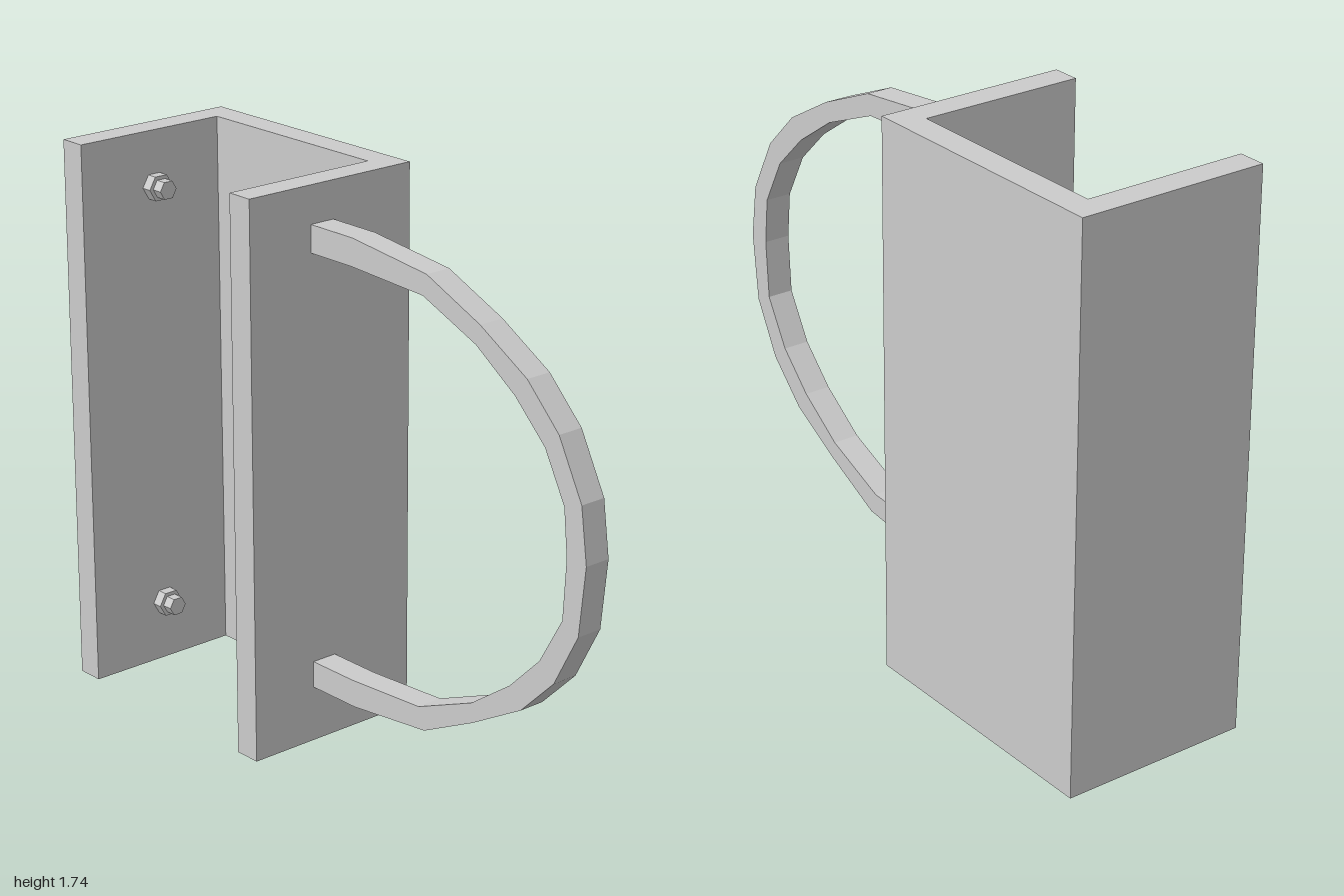
import * as THREE from 'three';

const material = new THREE.MeshStandardMaterial({ color: 0xcccccc, flatShading: true });

function add(parent, name, geometry, x, y, z) {
  const mesh = new THREE.Mesh(geometry, material);
  mesh.name = name;
  mesh.position.set(x, y, z);
  parent.add(mesh);
  return mesh;
}

export function createModel() {
  const model = new THREE.Group();
  model.name = 'channelBracketWithHandle';

  // U-shaped channel: back plate and two side flanges
  const height = 1.742, wall = 0.087, left = -1, right = -0.128, back = -0.303, front = 0.303;
  const channel = new THREE.Group();
  channel.name = 'channel';
  model.add(channel);
  const innerWidth = right - left - 2 * wall;
  add(channel, 'backPlate', new THREE.BoxGeometry(innerWidth, height, wall),
    (left + right) / 2, height / 2, back + wall / 2);
  for (const [name, x] of [['rightFlange', left + wall / 2], ['leftFlange', right - wall / 2]]) {
    add(channel, name, new THREE.BoxGeometry(wall, height, front - back), x, height / 2, 0);
  }

  // Faceted flat-bar handle, outer edge then inner edge
  const outer = [[-0.13, 1.625], [0.05, 1.625], [0.36, 1.59], [0.575, 1.497], [0.76, 1.39],
    [0.885, 1.265], [0.976, 1.09], [0.999, 0.92], [0.976, 0.706], [0.887, 0.537],
    [0.76, 0.412], [0.567, 0.305], [0.365, 0.208], [0.06, 0.176], [-0.13, 0.176]];
  const inner = [[-0.13, 0.26], [0.05, 0.26], [0.34, 0.276], [0.56, 0.365], [0.715, 0.473],
    [0.83, 0.587], [0.914, 0.735], [0.925, 0.92], [0.911, 1.067], [0.833, 1.215],
    [0.715, 1.33], [0.56, 1.436], [0.345, 1.525], [0.05, 1.54], [-0.13, 1.54]];
  const outline = new THREE.Shape([...outer, ...inner].map(([x, y]) => new THREE.Vector2(x, y)));
  add(model, 'handle', new THREE.ExtrudeGeometry(outline, { depth: 0.085, bevelEnabled: false }), 0, 0, -0.008);

  // Hex nuts and bolt ends on the inner face of the right flange
  for (const [name, y] of [['upperBolt', 1.567], ['lowerBolt', 0.197]]) {
    const bolt = new THREE.Group();
    bolt.name = name;
    bolt.position.set(left + wall, y, 0.032);
    model.add(bolt);
    const nut = new THREE.CylinderGeometry(0.044, 0.044, 0.035, 6).rotateZ(-Math.PI / 2);
    const end = new THREE.CylinderGeometry(0.031, 0.031, 0.07, 6).rotateZ(-Math.PI / 2);
    add(bolt, 'nut', nut, 0.0165, 0, 0);
    add(bolt, 'boltEnd', end, 0.034, 0, 0);
  }
  return model;
}
